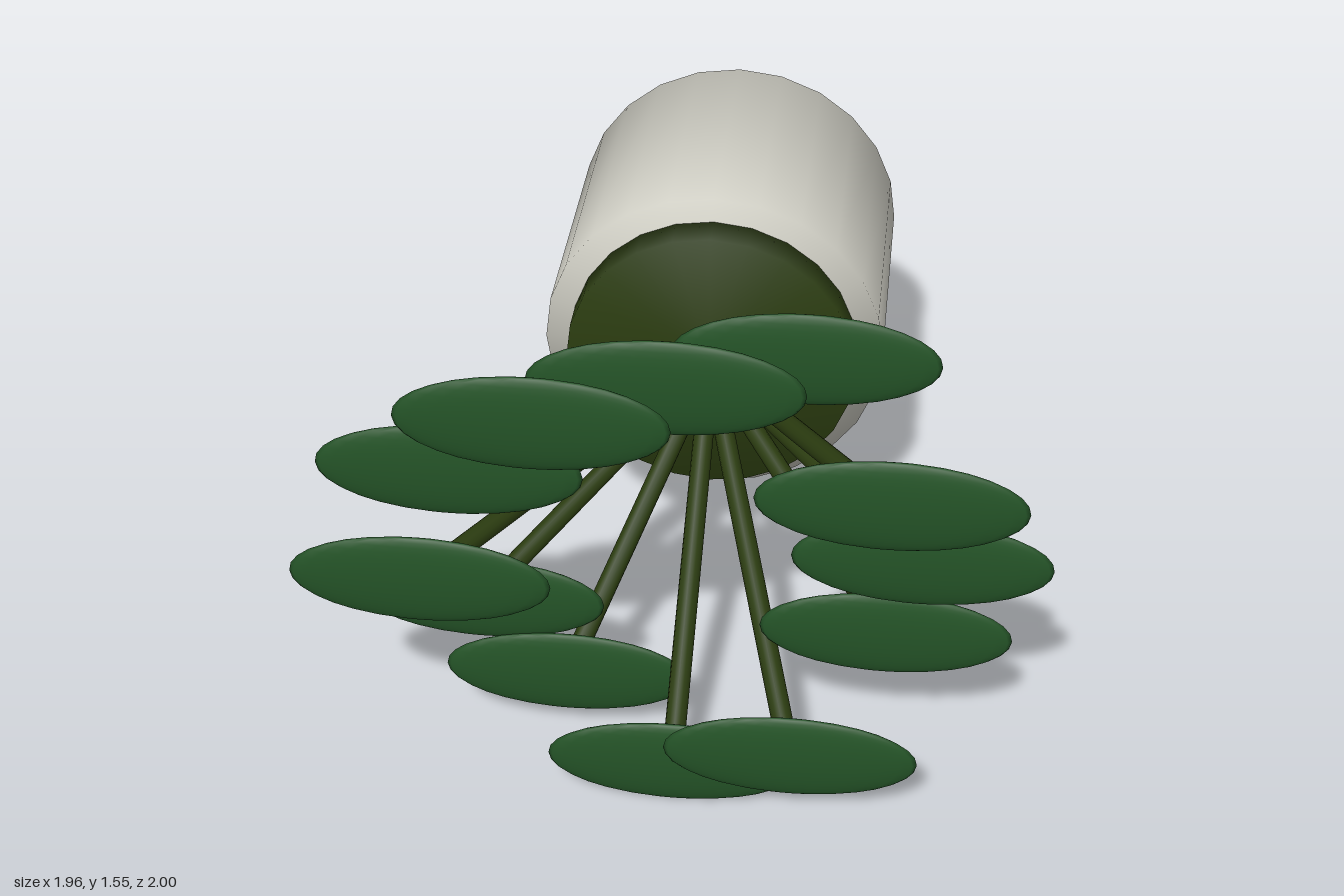
import * as THREE from 'three';
import { mergeVertices } from 'three/addons/utils/BufferGeometryUtils.js';

const CENTER_Y = 0.775;
const SOIL_FRONT = -0.12;

function material(name, color) {
  const m = new THREE.MeshStandardMaterial({ color });
  m.name = name;
  return m;
}

// Closed drum along z whose normals blend softly over the rim
function drum(radius, zBack, zFront) {
  const g = new THREE.CylinderGeometry(radius, radius, zFront - zBack, 24);
  g.deleteAttribute('normal');
  g.deleteAttribute('uv');
  const soft = mergeVertices(g, 1e-4);
  soft.rotateX(Math.PI / 2);
  soft.translate(0, CENTER_Y, (zFront + zBack) / 2);
  soft.computeVertexNormals();
  return soft;
}

export function createModel() {
  const group = new THREE.Group();
  const potWhite = material('pot white', 0xcfcec4);
  const stemGreen = material('dark stem green', 0x2b3c10);
  const leafGreen = material('leaf green', 0x245327);

  const add = (name, geometry, mat) => {
    const mesh = new THREE.Mesh(geometry, mat);
    mesh.name = name;
    group.add(mesh);
    return mesh;
  };

  // Pot lying on its side, with the planting disc at its mouth
  add('pot', drum(0.495, -1, -0.22), potWhite);
  add('plantingDisc', drum(0.42, -0.24, SOIL_FRONT), stemGreen);

  // Twelve stems fan out to a ring of flat oval leaves; depth of each leaf,
  // starting at the model's left and going counter-clockwise
  const depths = [0.72, 0.9, 0.63, 0.91, 0.97, 0.87, 0.92, 0.605, 0.62, 0.855, 0.89, 0.635];
  const root = new THREE.Vector3(0, CENTER_Y, SOIL_FRONT - 0.01);
  const leafGeometry = new THREE.SphereGeometry(1, 24, 16);
  leafGeometry.scale(0.34, 0.135, 0.027);

  depths.forEach((z, i) => {
    const a = (i * Math.PI) / 6;
    const tip = new THREE.Vector3(0.64 * Math.cos(a), CENTER_Y + 0.64 * Math.sin(a), z);
    const along = tip.clone().sub(root);

    const stem = add('stem' + (i + 1), new THREE.CylinderGeometry(0.029, 0.029, along.length(), 12), stemGreen);
    stem.position.copy(root).addScaledVector(along, 0.5);
    stem.quaternion.setFromUnitVectors(new THREE.Vector3(0, 1, 0), along.normalize());

    add('leaf' + (i + 1), leafGeometry, leafGreen).position.copy(tip);
  });

  return group;
}
